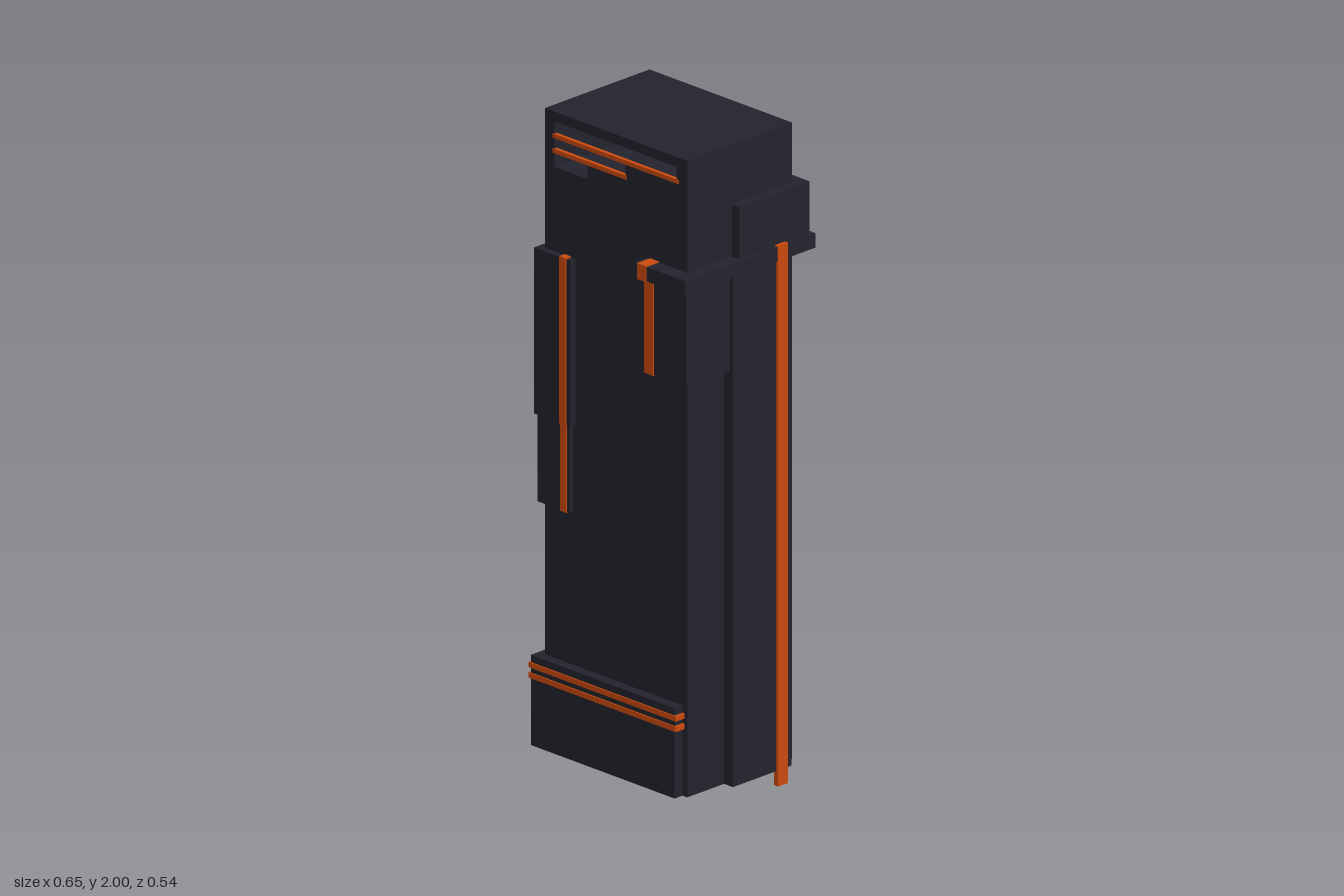
import * as THREE from 'three';

export function createModel() {
  const model = new THREE.Group();
  model.name = 'tower';

  const dark = new THREE.MeshStandardMaterial({ color: 0x22232d });
  dark.name = 'dark slate';
  const orange = new THREE.MeshStandardMaterial({ color: 0xcb4a0e });
  orange.name = 'glowing orange';

  // box given by its extents along each axis
  function block(name, material, [x0, x1], [y0, y1], [z0, z1]) {
    const mesh = new THREE.Mesh(new THREE.BoxGeometry(x1 - x0, y1 - y0, z1 - z0), material);
    mesh.position.set((x0 + x1) / 2, (y0 + y1) / 2, (z0 + z1) / 2);
    mesh.name = name;
    model.add(mesh);
  }

  // main shaft with a stepped opening running through the crown
  const BASE = 0.045, BACK = -0.206, FRONT = 0.215;
  const points = (list) => list.map(([x, y]) => new THREE.Vector2(x, y));
  const outline = new THREE.Shape(points([[-0.293, BASE], [0.283, BASE], [0.283, 2], [-0.293, 2]]));
  outline.holes.push(new THREE.Path(points([
    [-0.255, 1.83], [-0.255, 1.97], [0.24, 1.97], [0.24, 1.925],
    [0.033, 1.925], [0.033, 1.88], [-0.12, 1.88], [-0.12, 1.83],
  ])));
  const shaftGeometry = new THREE.ExtrudeGeometry(outline, { depth: FRONT - BACK, bevelEnabled: false });
  shaftGeometry.translate(0, 0, BACK);
  const shaft = new THREE.Mesh(shaftGeometry, dark);
  shaft.name = 'shaft';
  model.add(shaft);

  // light bars across the crown opening, front and back
  for (const [side, z] of [['Front', [FRONT - 0.01, FRONT + 0.002]], ['Back', [BACK - 0.002, BACK + 0.01]]]) {
    block('crownLightLong' + side, orange, [-0.26, 0.25], [1.919, 1.932], z);
    block('crownLightShort' + side, orange, [-0.26, 0.038], [1.873, 1.886], z);
  }

  // plinth wrapping the front corner, with two light bands
  block('plinth', dark, [-0.318, 0.264], [BASE, 0.322], [-0.178, 0.247]);
  for (const y of [0.26, 0.292]) {
    block('plinthBand', orange, [-0.324, 0.272], [y - 0.008, y + 0.008], [FRONT, 0.251]);
    block('plinthBandSide', orange, [-0.324, -0.293], [y - 0.008, y + 0.008], [-0.182, 0.251]);
  }

  // corner panels with vertical light strips
  block('cornerPanelUpper', dark, [-0.318, -0.17], [1.06, 1.57], [0.175, 0.234]);
  block('cornerPanelLower', dark, [-0.311, -0.18], [0.79, 1.06], [0.175, 0.226]);
  block('cornerStripUpper', orange, [-0.213, -0.187], [1.06, 1.574], [FRONT, 0.237]);
  block('cornerStripLower', orange, [-0.218, -0.193], [0.788, 1.06], [FRONT, 0.229]);

  // side column and its full-height light strip
  block('sideColumn', dark, [0.27, 0.319], [BASE, 1.612], [-0.168, 0.067]);
  block('sideStrip', orange, [0.31, 0.327], [0, 1.66], [-0.147, -0.107]);

  // collar wrapping three sides, with a lit tip
  block('collar', dark, [0.117, 0.324], [1.612, 1.656], [-0.261, 0.265]);
  block('collarTip', orange, [0.133, 0.169], [1.61, 1.659], [FRONT, 0.268]);

  // boxes hung below and set above the collar
  block('hangingBox', dark, [0.142, 0.308], [1.32, 1.612], [0.067, 0.242]);
  block('hangingBoxStrip', orange, [0.14, 0.176], [1.318, 1.612], [FRONT, 0.246]);
  block('upperBox', dark, [0.18, 0.314], [1.656, 1.817], [-0.246, 0.036]);

  // rear buttresses
  block('rearPanelTall', dark, [-0.258, 0.003], [BASE, 1.44], [-0.269, -0.2]);
  block('rearPanelShort', dark, [0.003, 0.14], [BASE, 0.607], [-0.248, -0.2]);

  return model;
}
